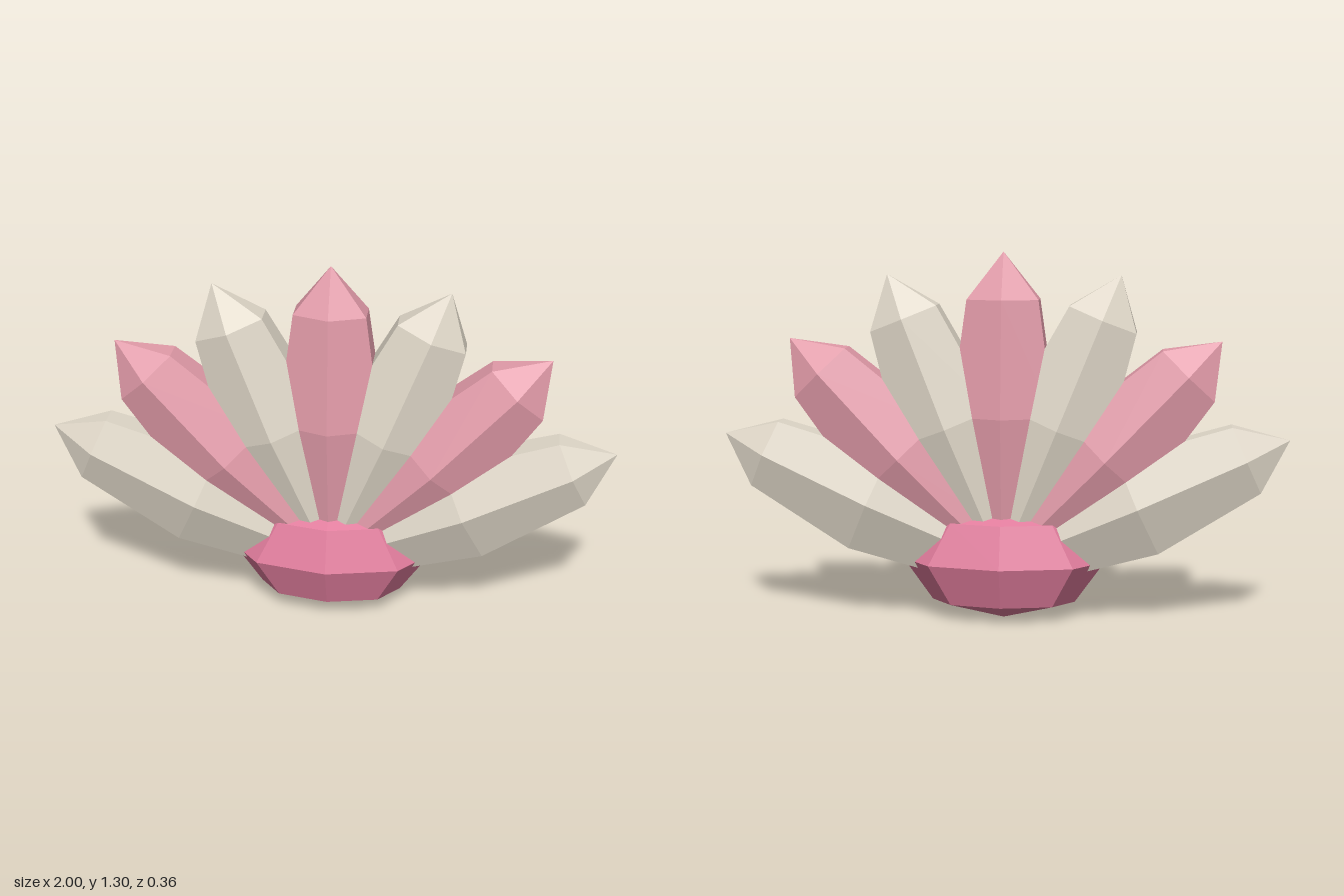
import * as THREE from 'three';

const mat = (name, color) => {
  const m = new THREE.MeshStandardMaterial({ color, flatShading: true });
  m.name = name;
  return m;
};

export function createModel() {
  const group = new THREE.Group();
  group.name = 'fanShell';

  const pink = mat('soft pink', 0xe29ba9);
  const cream = mat('cream', 0xded6c7);
  const rose = mat('rose', 0xe07c9c);
  const hingeY = 0.21;

  // Faceted hinge: flattened eight-sided ball
  const hinge = new THREE.Mesh(new THREE.SphereGeometry(1, 8, 4), rose);
  hinge.name = 'hinge';
  hinge.scale.set(0.36, 0.207, 0.182);
  hinge.position.y = hingeY;
  group.add(hinge);

  // One six-sided rib, widened sideways, pointing up from the hinge centre
  const profile = [[0, 0], [0.075, 0], [0.13, 0.52], [0.09, 0.93], [0, 1.095]]
    .map(([r, y]) => new THREE.Vector2(r, y));
  const ribGeometry = new THREE.LatheGeometry(profile, 6);
  ribGeometry.scale(1.61, 1, 1);

  // Seven ribs fanned out in alternating colours
  for (let i = -3; i <= 3; i++) {
    const rib = new THREE.Mesh(ribGeometry, i % 2 === 0 ? pink : cream);
    rib.name = i === 0 ? 'centreRib' : `${i > 0 ? 'left' : 'right'}Rib${Math.abs(i)}`;
    rib.position.y = hingeY;
    rib.rotation.z = -THREE.MathUtils.degToRad(22 * i);
    group.add(rib);
  }
  // Outer ribs are cream, then pink, then cream, then the pink centre
  return group;
}
